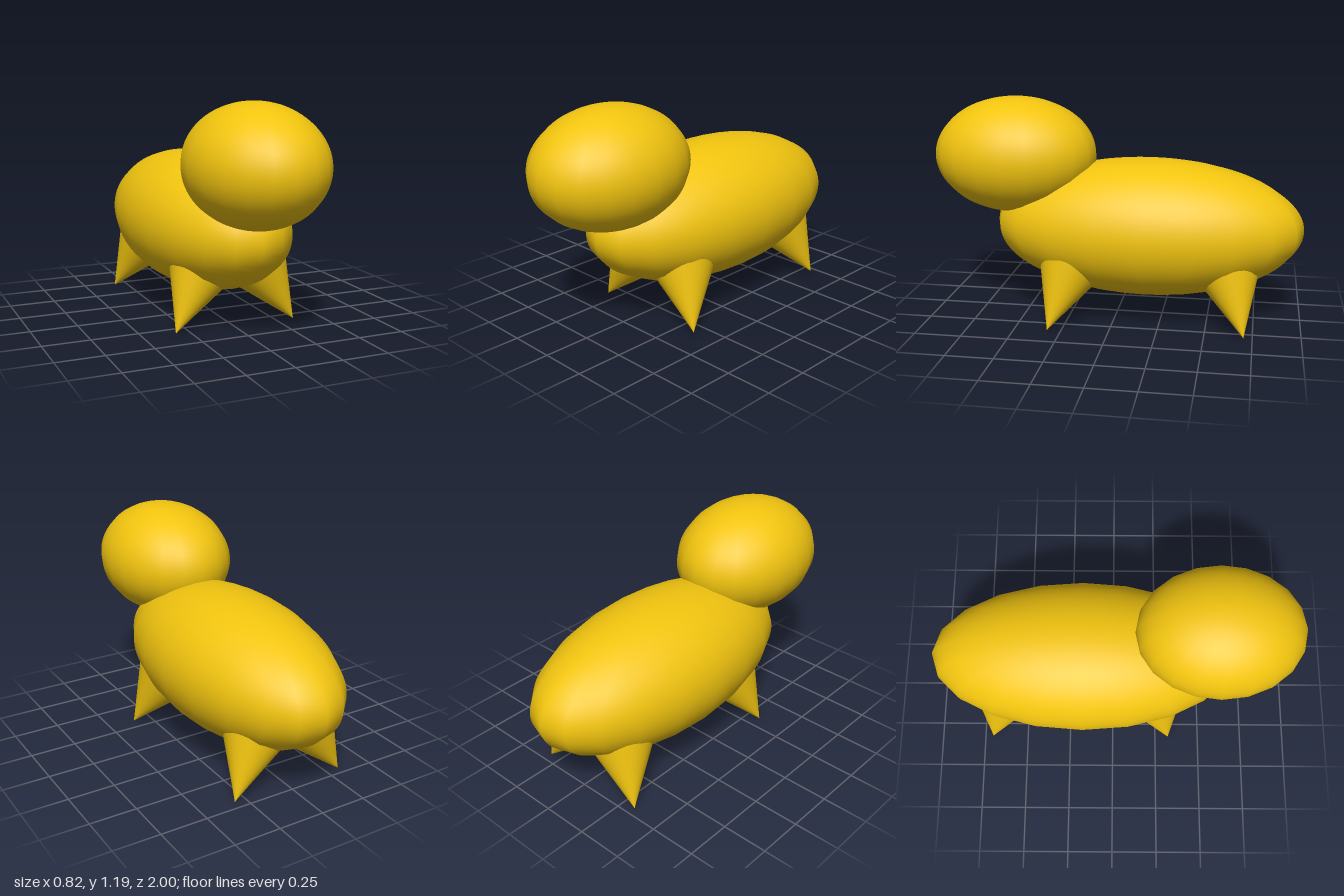
import * as THREE from 'three';

const material = new THREE.MeshStandardMaterial({ color: 0xf1c40f });

function ellipsoid(name, radii, position) {
  const mesh = new THREE.Mesh(new THREE.SphereGeometry(1, 20, 48), material);
  mesh.name = name;
  mesh.scale.set(...radii);
  mesh.position.set(...position);
  return mesh;
}

// Cone standing on its point, leaning from the foot into the body
function leg(name, foot, lean) {
  const height = 0.42;
  const geometry = new THREE.ConeGeometry(0.205, height, 32, 8);
  geometry.translate(0, -height / 2, 0); // tip at the origin
  const mesh = new THREE.Mesh(geometry, material);
  mesh.name = name;
  mesh.position.set(...foot);
  const axis = new THREE.Vector3(...lean).normalize().negate();
  mesh.quaternion.setFromUnitVectors(new THREE.Vector3(0, 1, 0), axis);
  return mesh;
}

export function createModel() {
  const model = new THREE.Group();
  model.name = 'animal';

  model.add(ellipsoid('body', [0.41, 0.37, 0.833], [0, 0.5, -0.167]));
  model.add(ellipsoid('head', [0.35, 0.313, 0.442], [0, 0.875, 0.558]));

  // Legs: foot positions, each leaning inward
  const feet = {
    frontLeftLeg: [0.35, 0, 0.325],
    frontRightLeg: [-0.325, 0, 0.325],
    backLeftLeg: [0.315, 0.005, -0.705],
    backRightLeg: [-0.325, 0, -0.705],
  };
  for (const [name, foot] of Object.entries(feet)) {
    const lean = [-0.577 * Math.sign(foot[0]), 1, -0.315 * Math.sign(foot[2])];
    model.add(leg(name, foot, lean));
  }
  return model;
}
